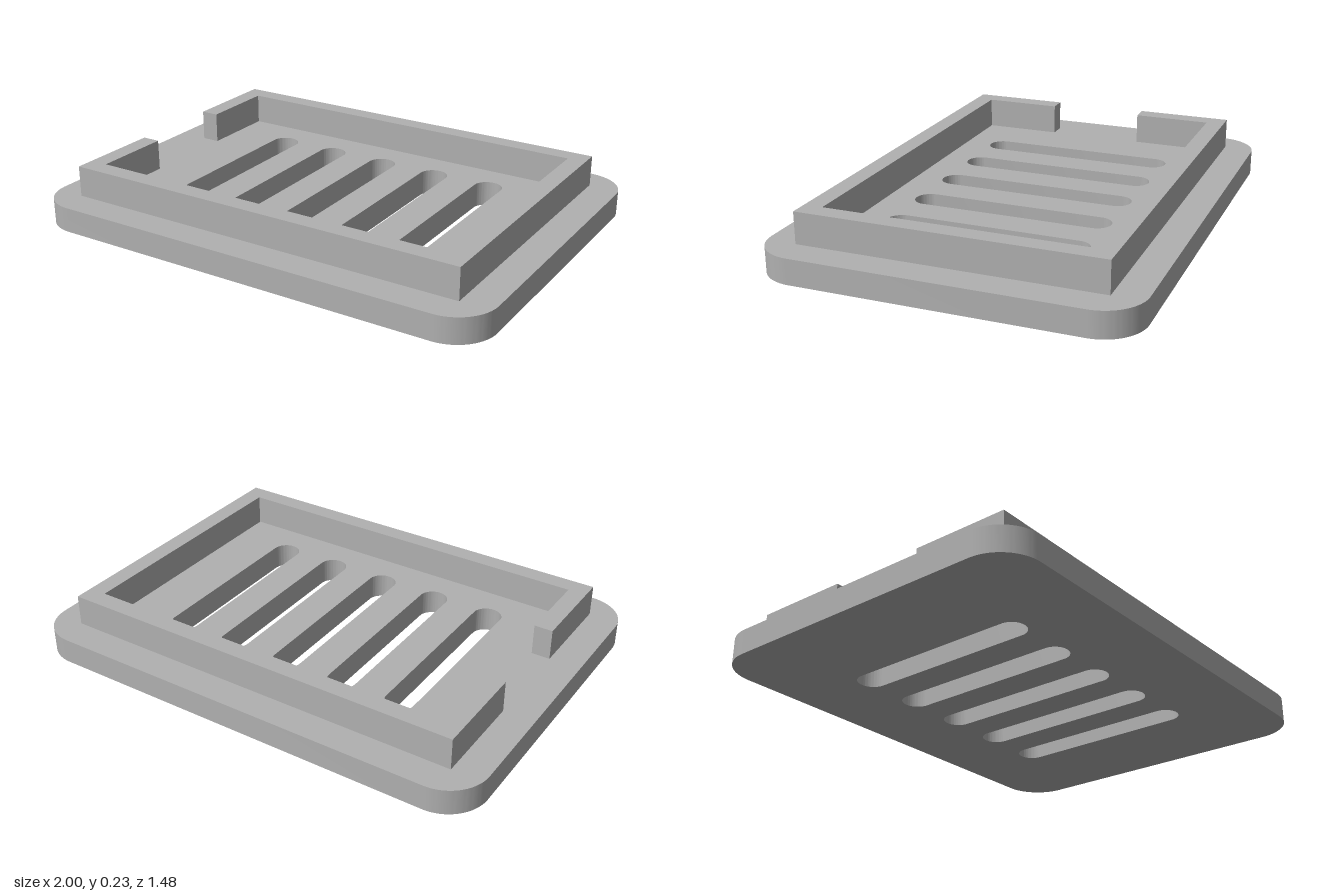
import * as THREE from 'three';
import { toCreasedNormals } from 'three/addons/utils/BufferGeometryUtils.js';

const PLATE_H = 0.105, WALL_H = 0.13;

// Rounded rectangle outline centred on (cx, 0)
function roundedRect(path, cx, halfW, halfD, r) {
  const x = halfW - r, y = halfD - r;
  path.moveTo(cx + halfW, -y);
  path.lineTo(cx + halfW, y);
  path.absarc(cx + x, y, r, 0, Math.PI / 2);
  path.absarc(cx - x, y, r, Math.PI / 2, Math.PI);
  path.absarc(cx - x, -y, r, Math.PI, Math.PI * 1.5);
  path.absarc(cx + x, -y, r, Math.PI * 1.5, Math.PI * 2);
  return path;
}

// Extrude a plan outline upwards, with smooth rounds and sharp rims
function extrudeUp(shape, height) {
  const geo = new THREE.ExtrudeGeometry(shape, { depth: height, bevelEnabled: false, curveSegments: 16 });
  geo.rotateX(-Math.PI / 2);
  return toCreasedNormals(geo, Math.PI / 6);
}

export function createModel() {
  const model = new THREE.Group();
  model.name = 'ventCover';
  const grey = new THREE.MeshStandardMaterial({ color: 0xb0b0b0 });
  grey.name = 'grey';

  // Base plate with five rounded slots
  const plate = roundedRect(new THREE.Shape(), 0, 1, 0.741, 0.17);
  for (let i = -2; i <= 2; i++) {
    plate.holes.push(roundedRect(new THREE.Path(), i * 0.258, 0.06, 0.42, 0.0599));
  }
  const base = new THREE.Mesh(extrudeUp(plate, PLATE_H), grey);
  base.name = 'slottedPlate';
  model.add(base);

  // Raised rim, open in the middle of the -x side
  const ox = 0.87, oz = 0.613, ix = 0.793, iz = 0.536, gap = 0.206;
  const rim = new THREE.Shape([
    [-ox, -gap], [-ox, -oz], [ox, -oz], [ox, oz], [-ox, oz], [-ox, gap],
    [-ix, gap], [-ix, iz], [ix, iz], [ix, -iz], [-ix, -iz], [-ix, -gap],
  ].map(([x, y]) => new THREE.Vector2(x, y)));
  const wall = new THREE.Mesh(extrudeUp(rim, WALL_H), grey);
  wall.name = 'raisedRim';
  wall.position.y = PLATE_H;
  model.add(wall);

  return model;
}
